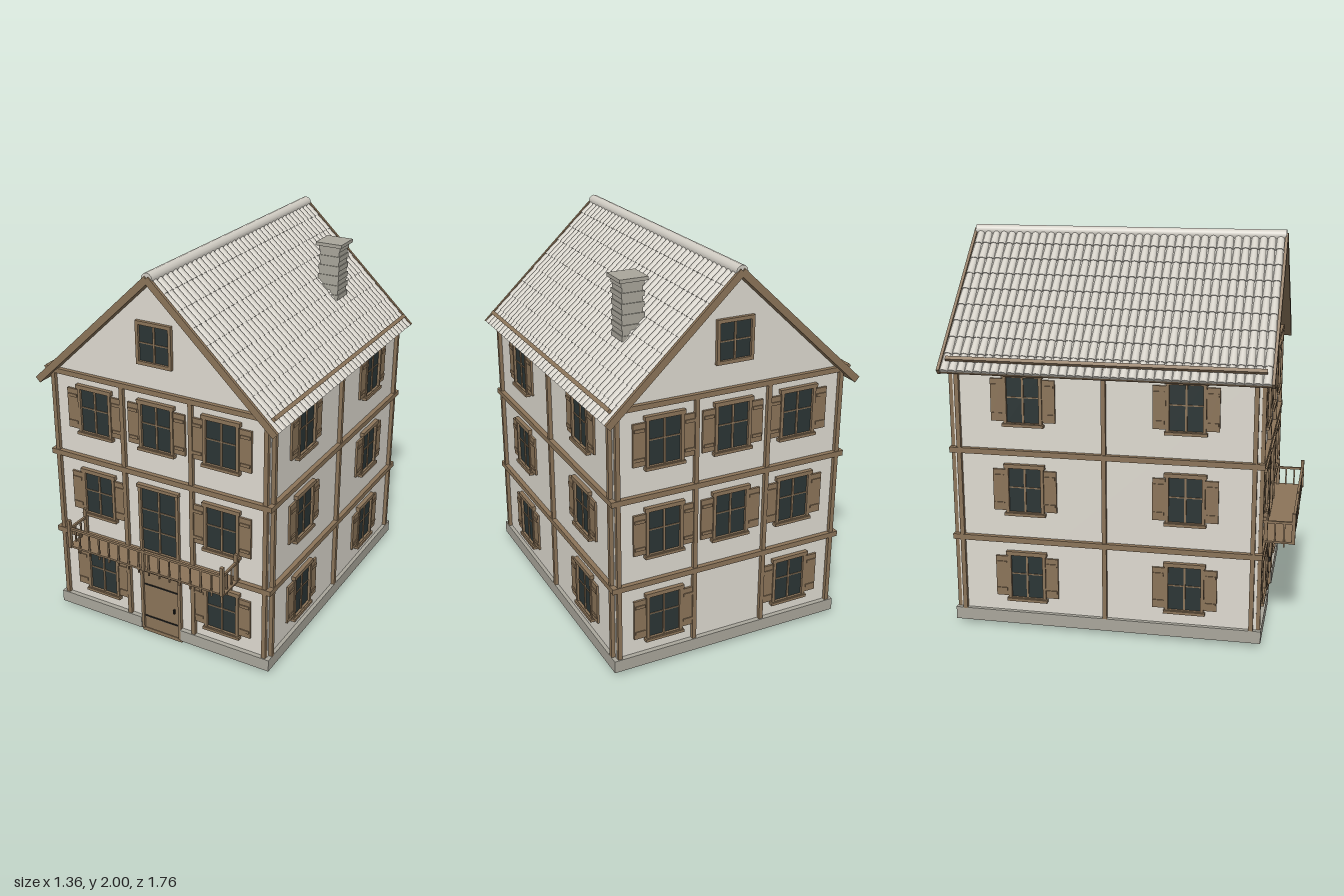
import * as THREE from 'three';
import { mergeGeometries } from 'three/addons/utils/BufferGeometryUtils.js';

const paint = (name, color) => {
  const m = new THREE.MeshStandardMaterial({ color });
  m.name = name;
  return m;
};

export function createModel() {
  const plaster = paint('plaster', 0xdedad0);
  const wood = paint('wood', 0x8b7459);
  const glass = paint('glass', 0x2b3535);
  const stone = paint('stone', 0xa9a69b);
  const tile = paint('roof tile', 0xd2cec5);
  const iron = paint('iron', 0x1e1e1c);

  const ZC = -0.055, HX = 0.615, HZ = 0.765, T = 0.02;
  const house = new THREE.Group();
  house.name = 'house';

  const group = (parent, name, x = 0, y = 0, z = 0) => {
    const g = new THREE.Group();
    g.name = name;
    g.position.set(x, y, z);
    parent.add(g);
    return g;
  };
  const add = (parent, name, geometry, material) => {
    const m = new THREE.Mesh(geometry, material);
    m.name = name;
    parent.add(m);
    return m;
  };
  // box given by its limits on each axis
  const box = (parent, name, mat, x0, x1, y0, y1, z0, z1) => {
    const m = add(parent, name, new THREE.BoxGeometry(x1 - x0, y1 - y0, z1 - z0), mat);
    m.position.set((x0 + x1) / 2, (y0 + y1) / 2, (z0 + z1) / 2);
    return m;
  };

  // glazed opening with frame and glazing bars, z = 0 on the wall face
  const pane = (g, w, h, bars) => {
    box(g, 'glass', glass, -w, w, -h, h, -T - 0.002, 0.005);
    for (const s of [-1, 1]) {
      box(g, 'jamb', wood, s * (w + 0.006) - 0.008, s * (w + 0.006) + 0.008, -h, h, 0, 0.018);
      box(g, 'frameRail', wood, -w - 0.014, w + 0.014, s * (h + 0.006) - 0.009, s * (h + 0.006) + 0.009, 0, 0.018);
    }
    box(g, 'mullion', wood, -0.005, 0.005, -h, h, 0, 0.011);
    for (const y of bars) box(g, 'glazingBar', wood, -w, w, y - 0.003, y + 0.003, 0, 0.009);
  };
  const shutteredWindow = (parent, x, y) => {
    const g = group(parent, 'window', x, y, 0);
    pane(g, 0.084, 0.119, [0.012]);
    box(g, 'lintel', wood, -0.105, 0.105, 0.114, 0.135, 0, 0.022);
    box(g, 'sill', wood, -0.105, 0.105, -0.135, -0.12, 0, 0.026);
    for (const s of [-1, 1]) {
      box(g, 'shutter', wood, s * 0.131 - 0.032, s * 0.131 + 0.032, -0.11, 0.105, 0.002, 0.013);
      for (const b of [-0.075, 0.07])
        box(g, 'shutterBatten', wood, s * 0.131 - 0.026, s * 0.131 + 0.026, b - 0.008, b + 0.008, 0.013, 0.018);
    }
  };

  // four facades: local x along the wall, local z outward
  const rows = [0.28, 0.745, 1.21];
  const facade = (name, x, z, turn) => {
    const g = group(house, name, x, 0, z);
    g.rotation.y = turn;
    return g;
  };
  const beams = (g, half, posts) => {
    for (const y of [0.478, 0.94]) box(g, 'floorBeam', wood, -half, half, y - 0.014, y + 0.014, 0, 0.024);
    for (const p of posts) box(g, 'post', wood, p - 0.011, p + 0.011, 0.08, 1.385, 0, 0.02);
  };
  const gableShape = new THREE.Shape([[-HX, 0.02], [HX, 0.02], [HX, 1.372], [0, 1.95], [-HX, 1.372]]
    .map(([x, y]) => new THREE.Vector2(x, y)));
  const gable = (name, z, turn) => {
    const g = facade(name, 0, z, turn);
    const geo = new THREE.ExtrudeGeometry(gableShape, { depth: T, bevelEnabled: false });
    add(g, 'gableWall', geo.translate(0, 0, -T), plaster);
    beams(g, 0.638, [-0.602, -0.195, 0.195, 0.602]);
    box(g, 'tieBeam', wood, -0.6, 0.6, 1.383, 1.409, 0, 0.022);
    for (const y of rows) for (const x of [-0.36, 0.36]) shutteredWindow(g, x, y);
    shutteredWindow(g, 0, rows[2]);
    pane(group(g, 'atticWindow', 0, 1.637, 0), 0.084, 0.094, [0.0]);
    return g;
  };
  const front = gable('frontFacade', ZC + HZ, 0);
  const back = gable('backFacade', ZC - HZ, Math.PI);
  shutteredWindow(back, 0, rows[1]);
  for (const s of [-1, 1]) {
    const g = facade('sideFacade', s * HX, ZC, s * Math.PI / 2);
    box(g, 'sideWall', plaster, -HZ + T, HZ - T, 0.02, 1.375, -T, 0);
    beams(g, HZ + 0.022, [-0.74, 0, 0.74]);
    for (const y of rows) for (const x of [-0.405, 0.405]) shutteredWindow(g, x, y);
  }

  // plinth, open at the front door
  const plinth = group(house, 'plinth', 0, 0, ZC);
  for (const s of [-1, 1]) {
    box(plinth, 'plinthSide', stone, s * 0.6175 - 0.0175, s * 0.6175 + 0.0175, 0.02, 0.085, -0.79, 0.79);
    box(plinth, 'plinthFront', stone, s * 0.3675 - 0.2475, s * 0.3675 + 0.2475, 0.02, 0.085, 0.755, 0.79);
  }
  box(plinth, 'plinthBack', stone, -0.62, 0.62, 0.02, 0.085, -0.79, -0.755);

  // front door
  const door = group(front, 'frontDoor');
  box(door, 'doorLeaf', wood, -0.106, 0.106, 0.02, 0.375, -T - 0.002, 0.008);
  for (const s of [-1, 1]) box(door, 'doorJamb', wood, s * 0.113 - 0.008, s * 0.113 + 0.008, 0.02, 0.38, 0, 0.02);
  box(door, 'doorLintel', wood, -0.124, 0.124, 0.378, 0.4, 0, 0.026);
  box(door, 'doorStep', wood, -0.121, 0.121, 0, 0.02, -0.025, 0.012);
  for (const y of [0.095, 0.292]) box(door, 'doorStrap', iron, -0.104, 0.104, y - 0.004, y + 0.004, 0.006, 0.011);
  box(door, 'doorHandle', iron, 0.076, 0.084, 0.168, 0.192, 0.006, 0.02);

  // balcony door
  const balconyDoor = group(front, 'balconyDoor', 0, 0.685, 0);
  pane(balconyDoor, 0.103, 0.182, [-0.06, 0.055]);
  box(balconyDoor, 'doorLintel', wood, -0.122, 0.122, 0.18, 0.197, 0, 0.024);

  // balcony
  const balcony = group(house, 'balcony');
  box(balcony, 'balconyFloor', wood, -0.46, 0.46, 0.49, 0.5, 0.71, 0.875);
  box(balcony, 'frontRail', wood, -0.455, 0.455, 0.592, 0.604, 0.862, 0.876);
  for (let i = 1; i < 15; i++) {
    const x = -0.45 + i * 0.06;
    box(balcony, 'baluster', wood, x - 0.004, x + 0.004, 0.468, 0.594, 0.866, 0.874);
  }
  for (const s of [-1, 1]) {
    const x = s * 0.449;
    box(balcony, 'sideRail', wood, x - 0.006, x + 0.006, 0.592, 0.604, 0.71, 0.87);
    for (const z of [0.733, 0.871]) box(balcony, 'railPost', wood, x - 0.009, x + 0.009, 0.488, 0.648, z - 0.009, z + 0.009);
    for (const z of [0.779, 0.825]) box(balcony, 'baluster', wood, x - 0.004, x + 0.004, 0.468, 0.594, z - 0.004, z + 0.004);
  }
  box(balcony, 'middlePost', wood, -0.007, 0.007, 0.488, 0.61, 0.862, 0.878);

  // roof slopes: local x runs down the slope, local y is its normal
  const roof = group(house, 'roof', 0, 1.972, ZC);
  const L = 0.912, COLS = 38, ROWS = 9, pitch = 1.62 / COLS, step = L / ROWS;
  const tiles = [];
  for (let r = 0; r < ROWS; r++) for (let c = 0; c < COLS; c++) {
    const t = new THREE.CylinderGeometry(0.018, 0.0222, step + 0.006, 6, 1, false, 0, Math.PI);
    t.rotateZ(Math.PI / 2).scale(1, 0.9, 1);
    tiles.push(t.translate((r + 0.5) * step, 0, -0.81 + (c + 0.5) * pitch));
  }
  const tileField = mergeGeometries(tiles);
  for (const turn of [0, Math.PI]) {
    const side = group(roof, 'roofSide');
    side.rotation.y = turn;
    const slope = group(side, 'slope');
    slope.rotation.z = -0.754;
    box(slope, 'roofDeck', wood, 0, L, -0.02, 0, -0.815, 0.815);
    box(slope, 'tileBed', tile, 0, L - 0.004, 0, 0.004, -0.811, 0.811);
    add(slope, 'roofTiles', tileField, tile);
    for (const s of [-1, 1]) box(slope, 'bargeBoard', wood, 0, L + 0.004, -0.02, 0.015, s * 0.8175 - 0.0075, s * 0.8175 + 0.0075);
    box(slope, 'snowRail', wood, 0.842, 0.862, 0.016, 0.034, -0.787, 0.787);
  }
  const ridge = add(roof, 'ridgeCap', new THREE.CylinderGeometry(0.03, 0.03, 1.635, 12), tile);
  ridge.rotation.x = Math.PI / 2;
  ridge.position.y = -0.003;

  // chimney in stone courses
  const chimney = group(house, 'chimney', 0.368, 0, -0.46);
  for (let i = 0; i < 13; i++) {
    const h = i % 2 ? 0.054 : 0.059, y = 1.542 + i * 0.026;
    box(chimney, 'course', stone, -h, h, y, y + 0.026, -h, h);
  }
  box(chimney, 'chimneyCap', stone, -0.073, 0.073, 1.88, 1.898, -0.073, 0.073);
  return house;
}
